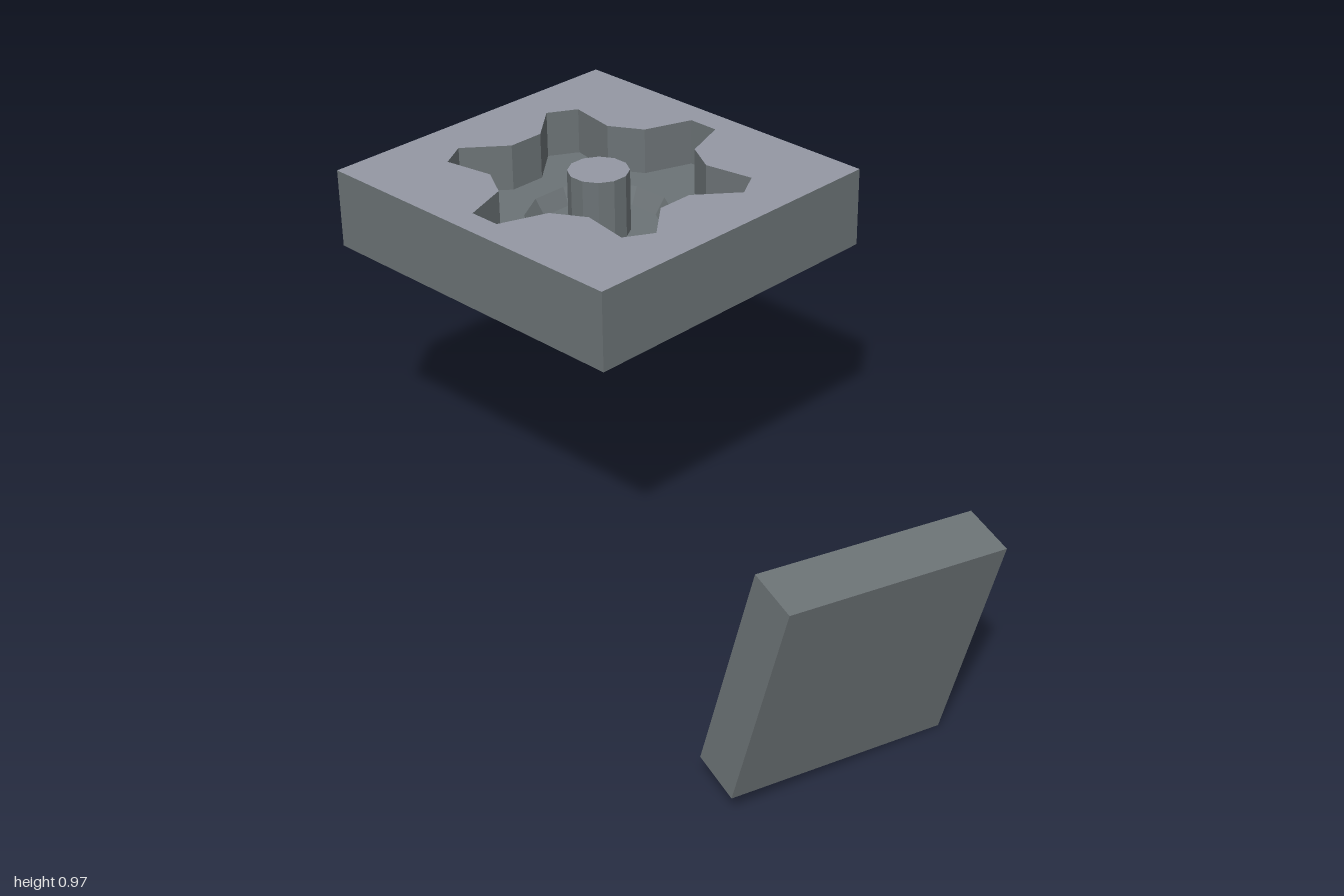
import * as THREE from 'three';

const WIDTH = 0.95, LENGTH = 0.99, TOP = 0.11;
const GEAR_FLOOR = -0.02, WELL_FLOOR = -0.065;

const faceColor = new THREE.MeshStandardMaterial({ color: 0x9498a4 });
faceColor.name = 'paleSlate';
const bodyColor = new THREE.MeshStandardMaterial({ color: 0x6c7376 });
bodyColor.name = 'darkSlate';

const polar = (r, deg) => new THREE.Vector2(
  r * Math.cos(THREE.MathUtils.degToRad(deg)), r * Math.sin(THREE.MathUtils.degToRad(deg)));

// regular polygon loop with flat sides facing the axes
const ring = (r, n = 12) => Array.from({ length: n }, (_, i) => polar(r, (i + 0.5) * 360 / n));

// six-toothed gear loop
function gearLoop() {
  const pts = [];
  for (let i = 0; i < 6; i++) {
    for (const [r, a] of [[0.284, -19.3], [0.404, -6.4], [0.404, 6.4], [0.284, 19.3]]) {
      pts.push(polar(r, i * 60 + a));
    }
  }
  return pts;
}

// flat-sided wall between two loops, facing outward or into a cavity
function wall(name, lower, y0, upper, y1, inward = false) {
  const pos = [];
  lower.forEach((a, i) => {
    const j = (i + 1) % lower.length;
    const p = [a.x, y0, a.y], q = [lower[j].x, y0, lower[j].y];
    const P = [upper[i].x, y1, upper[i].y], Q = [upper[j].x, y1, upper[j].y];
    const tris = inward ? [p, q, P, q, Q, P] : [q, p, P, q, P, Q];
    pos.push(...tris.flat());
  });
  const geo = new THREE.BufferGeometry();
  geo.setAttribute('position', new THREE.Float32BufferAttribute(pos, 3));
  geo.computeVertexNormals();
  const mesh = new THREE.Mesh(geo, bodyColor);
  mesh.name = name;
  return mesh;
}

// horizontal plate, optionally with a hole, facing up or down
function plate(name, loop, y, material, hole = null, down = false) {
  const shape = new THREE.Shape(loop);
  if (hole) shape.holes.push(new THREE.Path(hole));
  const geo = new THREE.ShapeGeometry(shape);
  geo.rotateX(down ? Math.PI / 2 : -Math.PI / 2);
  const mesh = new THREE.Mesh(geo, material);
  mesh.position.y = y;
  mesh.name = name;
  return mesh;
}

// square block with a gear cavity, a tapered well and a centre post
function moldHalf(name) {
  const x = WIDTH / 2, z = LENGTH / 2;
  const block = [[x, -z], [x, z], [-x, z], [-x, -z]].map(([a, b]) => new THREE.Vector2(a, b));
  const gear = gearLoop(), wellTop = ring(0.2), wellBottom = ring(0.173), post = ring(0.083);
  const g = new THREE.Group();
  g.name = name;
  g.add(
    wall('blockSides', block, -TOP, block, TOP),
    plate('blockBottom', block, -TOP, bodyColor, null, true),
    plate('blockTop', block, TOP, faceColor, gear),
    wall('gearCavityWall', gear, GEAR_FLOOR, gear, TOP, true),
    plate('gearCavityFloor', gear, GEAR_FLOOR, bodyColor, wellTop),
    wall('wellTaper', wellBottom, WELL_FLOOR, wellTop, GEAR_FLOOR, true),
    plate('wellFloor', wellBottom, WELL_FLOOR, bodyColor, post),
    wall('postSides', post, WELL_FLOOR, post, TOP),
    plate('postTop', post, TOP, faceColor),
  );
  return g;
}

export function createModel() {
  const model = new THREE.Group();
  model.name = 'gearMolds';

  // large mold lying flat
  const large = moldHalf('largeMold');
  large.position.set(0.167, 0.87, -0.505);

  // small mold standing tilted, cavity toward the back
  const small = moldHalf('smallMold');
  const up = new THREE.Vector3(0.042, 0.971, 0.236).normalize();
  const side = new THREE.Vector3(-0.971, 0.102, -0.218);
  side.addScaledVector(up, -side.dot(up)).normalize();
  const cavityDir = new THREE.Vector3().crossVectors(side, up);
  small.quaternion.setFromRotationMatrix(new THREE.Matrix4().makeBasis(up, cavityDir, side));
  small.scale.setScalar(0.62);
  small.position.set(-0.317, 0.337, 0.8);

  model.add(large, small);
  return model;
}
